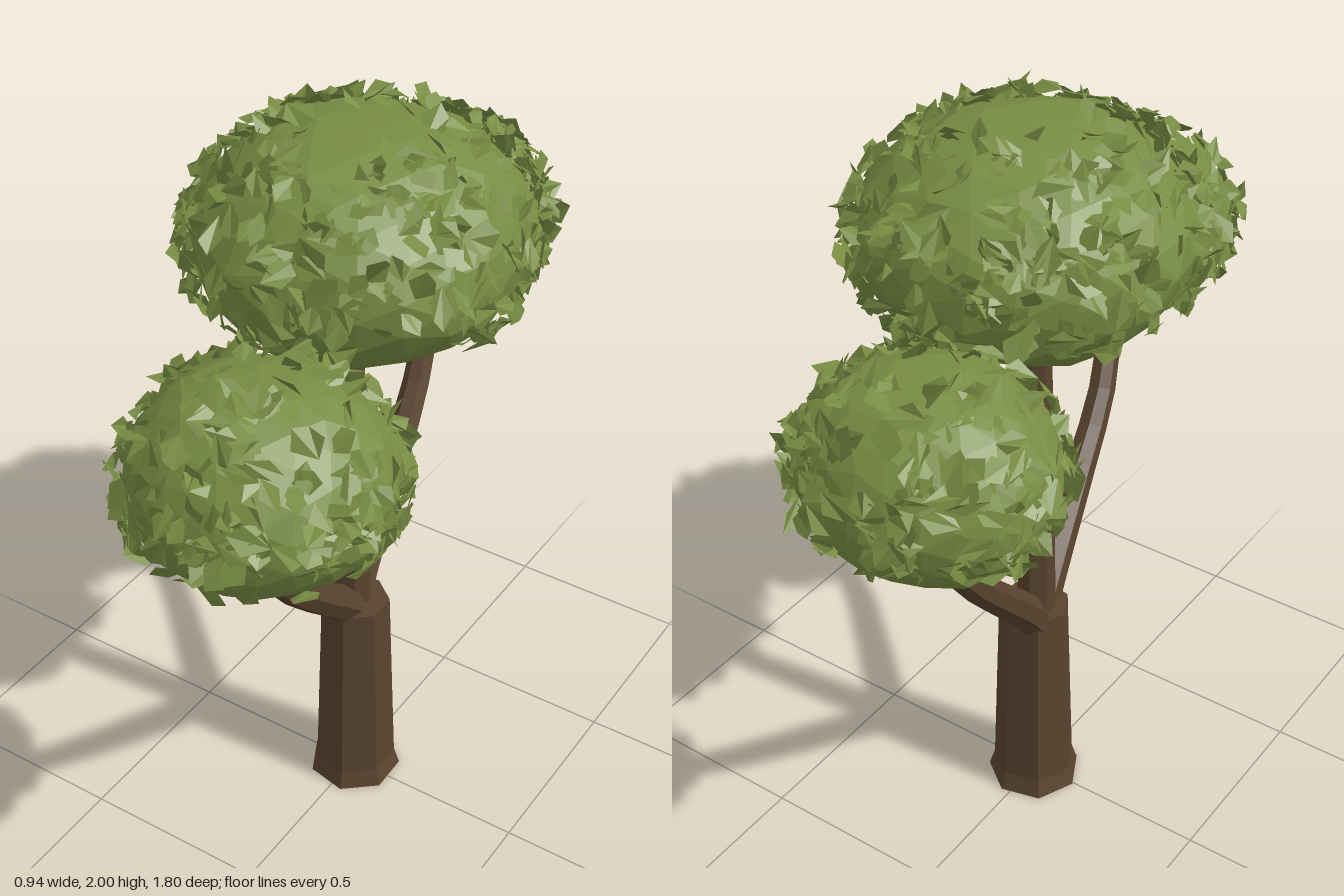
import * as THREE from 'three';
import { mergeGeometries } from 'three/addons/utils/BufferGeometryUtils.js';

let seed = 7;
function rand() {
  seed = (seed * 16807) % 2147483647;
  return seed / 2147483647;
}
const spread = (a) => (rand() * 2 - 1) * a;

// Tube along a curve, narrowed from r0 to r1
function taperedTube(points, r0, r1, sides, steps) {
  const curve = new THREE.CatmullRomCurve3(points.map((p) => new THREE.Vector3(...p)));
  const geo = new THREE.TubeGeometry(curve, steps, 1, sides, false);
  const pos = geo.attributes.position;
  const v = new THREE.Vector3();
  for (let i = 0; i <= steps; i++) {
    const c = curve.getPointAt(i / steps);
    const r = THREE.MathUtils.lerp(r0, r1, i / steps);
    for (let j = 0; j <= sides; j++) {
      const k = i * (sides + 1) + j;
      v.fromBufferAttribute(pos, k).sub(c).multiplyScalar(r).add(c);
      pos.setXYZ(k, v.x, v.y, v.z);
    }
  }
  return geo;
}

// Faceted ellipsoid, slightly lumpy
function crownCore(radii) {
  const geo = new THREE.IcosahedronGeometry(1, 3);
  const pos = geo.attributes.position;
  for (let i = 0; i < pos.count; i++) {
    const x = pos.getX(i), y = pos.getY(i), z = pos.getZ(i);
    const k = 1 + 0.025 * Math.sin(5 * x + 2 * y) * Math.cos(4 * z - 3 * y);
    pos.setXYZ(i, x * radii[0] * k, y * radii[1] * k, z * radii[2] * k);
  }
  return geo;
}

// Small bent leaf plates scattered over the upper part of an ellipsoid
function leafScatter(radii, count) {
  const leaves = [];
  const dummy = new THREE.Object3D();
  const R = new THREE.Vector3(...radii);
  for (let i = 0; i < count; i++) {
    const y = -0.42 + 1.4 * Math.pow(rand(), 1.1);
    const a = rand() * Math.PI * 2, s = Math.sqrt(1 - y * y);
    const n = new THREE.Vector3(Math.cos(a) * s, y, Math.sin(a) * s);
    const w = 0.022 + rand() * 0.016, l = 0.03 + rand() * 0.02, b = spread(0.012);
    const p = [[0, -l, b], [w, -l * 0.3, 0], [w * 0.6, l * 0.6, b], [-w * 0.2, l, -b], [-w, l * 0.1, 0]];
    const verts = [];
    for (let k = 1; k < 4; k++) verts.push(...p[0], ...p[k], ...p[k + 1]);
    const geo = new THREE.BufferGeometry();
    geo.setAttribute('position', new THREE.Float32BufferAttribute(verts, 3));
    dummy.position.copy(n).multiply(R).multiplyScalar(1.005 + rand() * 0.07);
    dummy.lookAt(dummy.position.clone().add(n.clone().divide(R)));
    dummy.rotateZ(rand() * Math.PI * 2);
    dummy.rotateX(spread(0.8));
    dummy.rotateY(spread(0.6));
    dummy.updateMatrix();
    geo.applyMatrix4(dummy.matrix);
    leaves.push(geo);
  }
  const merged = mergeGeometries(leaves);
  merged.computeVertexNormals();
  return merged;
}

export function createModel() {
  seed = 7;
  const bark = new THREE.MeshStandardMaterial({ color: 0x59442f, flatShading: true });
  bark.name = 'bark brown';
  const foliage = new THREE.MeshStandardMaterial({ color: 0x788c43, flatShading: true, side: THREE.DoubleSide });
  foliage.name = 'leaf green';

  const tree = new THREE.Group();
  tree.name = 'tree';
  const add = (parent, name, geo, mat) => {
    const mesh = new THREE.Mesh(geo, mat);
    mesh.name = name;
    parent.add(mesh);
    return mesh;
  };

  // Trunk with a flared foot
  const profile = [[0, 0], [0.125, 0], [0.11, 0.05], [0.092, 0.6], [0, 0.6]];
  const trunk = add(tree, 'trunk',
    new THREE.LatheGeometry(profile.map((p) => new THREE.Vector2(...p)), 7), bark);
  trunk.rotation.y = 0.25;
  trunk.position.z = -0.008;

  // Branches
  const branches = {
    middleBranch: [[[-0.01, 0.54, -0.015], [-0.01, 1, -0.01], [-0.01, 1.5, -0.005]], 0.053, 0.031],
    frontBranch: [[[-0.01, 0.56, -0.01], [0.01, 0.65, 0.08], [0.05, 0.83, 0.27], [0.08, 0.99, 0.42],
      [0.11, 1.13, 0.5], [0.13, 1.28, 0.54]], 0.05, 0.03],
    backBranch: [[[-0.02, 0.56, -0.03], [-0.03, 0.65, -0.1], [-0.055, 0.84, -0.28], [-0.075, 1, -0.42],
      [-0.095, 1.15, -0.51], [-0.11, 1.28, -0.56]], 0.05, 0.03],
  };
  for (const [name, [points, r0, r1]] of Object.entries(branches)) {
    add(tree, name, taperedTube(points, r0, r1, 7, 9), bark);
  }

  // Crowns: centre, radii, number of leaves
  const crowns = {
    middleCrown: [[0.015, 1.7, -0.015], [0.39, 0.27, 0.4], 420],
    frontCrown: [[0.14, 1.43, 0.57], [0.3, 0.24, 0.295], 290],
    backCrown: [[-0.135, 1.445, -0.595], [0.295, 0.238, 0.275], 290],
  };
  for (const [name, [centre, radii, count]] of Object.entries(crowns)) {
    const crown = new THREE.Group();
    crown.name = name;
    crown.position.set(...centre);
    add(crown, name + 'Core', crownCore(radii), foliage);
    add(crown, name + 'Leaves', leafScatter(radii, count), foliage);
    tree.add(crown);
  }
  return tree;
}
